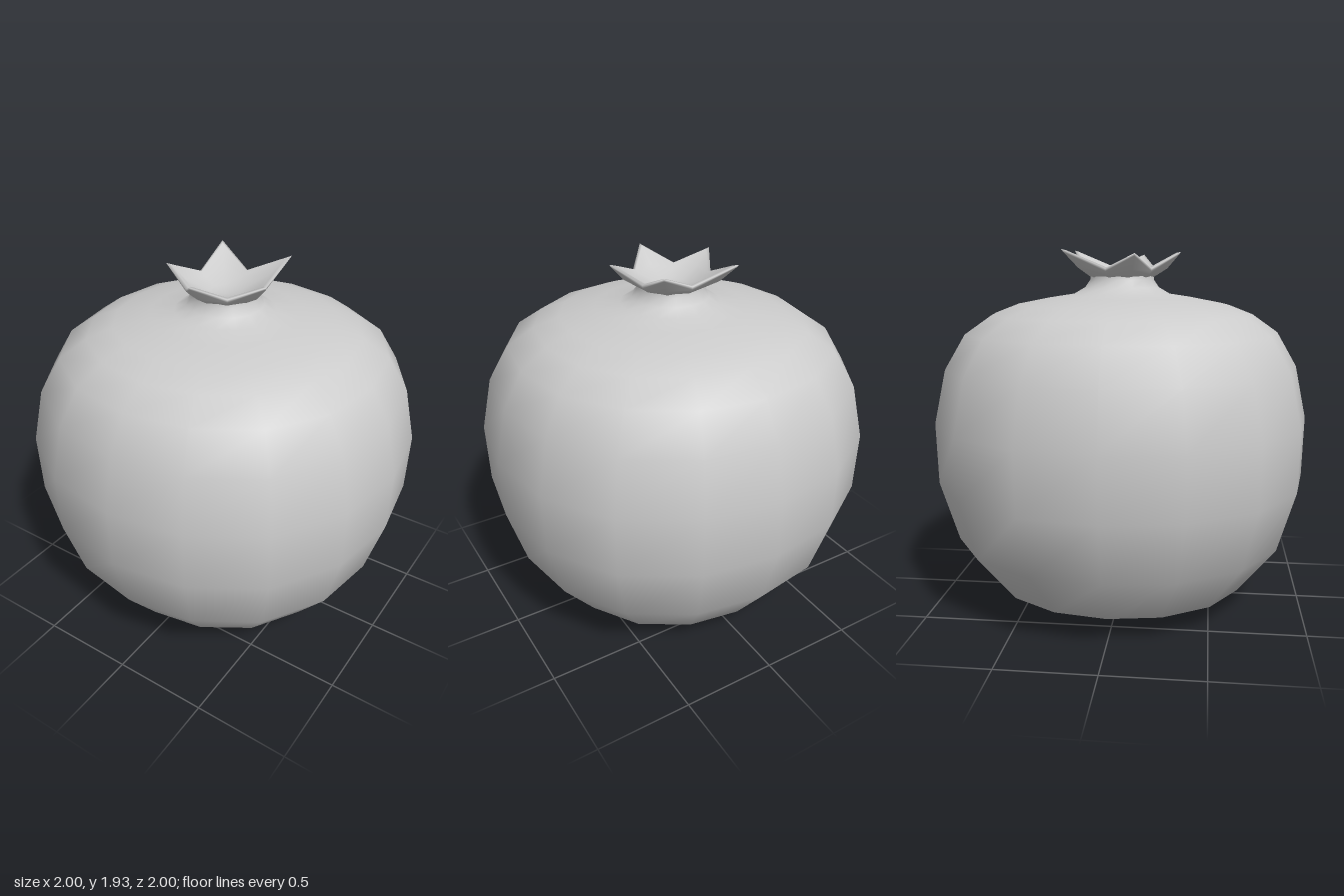
import * as THREE from 'three';
import { mergeVertices } from 'three/addons/utils/BufferGeometryUtils.js';

// Closed loft: point(ring, step) gives a corner; rings run so that faces look outward.
function loft(rings, steps, point) {
  const pos = [], index = [];
  for (let i = 0; i < rings; i++) {
    for (let j = 0; j < steps; j++) pos.push(...point(i, j));
  }
  for (let i = 0; i < rings - 1; i++) {
    for (let j = 0; j < steps; j++) {
      const k = (j + 1) % steps;
      const a = i * steps + j, b = i * steps + k, c = a + steps, d = b + steps;
      index.push(a, b, d, a, d, c);
    }
  }
  let geo = new THREE.BufferGeometry();
  geo.setAttribute('position', new THREE.Float32BufferAttribute(pos, 3));
  geo.setIndex(index);
  geo = mergeVertices(geo, 1e-4);
  geo.computeVertexNormals();
  return geo;
}

export function createModel() {
  const group = new THREE.Group();
  const material = new THREE.MeshStandardMaterial({ color: 0xcccccc, side: THREE.DoubleSide });
  const add = (name, geo) => {
    const mesh = new THREE.Mesh(geo, material);
    mesh.name = name;
    group.add(mesh);
  };

  // Fruit body with short neck: 16 sides, slightly squared in plan
  const profile = [
    [0, 0.015], [0.38, 0.004], [0.7, 0.14], [0.9, 0.4], [0.993, 0.72], [1, 1.04],
    [0.94, 1.32], [0.835, 1.5], [0.7, 1.595], [0.57, 1.645], [0.39, 1.68],
    [0.26, 1.7], [0.2, 1.735], [0.172, 1.775], [0.17, 1.81],
  ];
  add('fruitBody', loft(profile.length, 16, (i, j) => {
    const a = (j / 16) * Math.PI * 2;
    const [r, y] = profile[i];
    const R = r * (1 + 0.03 * r * Math.sin(2 * a) ** 2);
    return [R * Math.sin(a), y, R * Math.cos(a)];
  }));

  // Star crown: five pointed sepals around a shallow cup
  // each ring: notch radius, notch height, share of tip reach, tip lift
  const crownRings = [
    [0.165, 1.785, 0, 0],
    [0.19, 1.803, 0.5, 0.03],
    [0.207, 1.82, 0.93, 0.085],
    [0.21, 1.835, 1, 0.085],
    [0.195, 1.84, 0.9, 0.075],
    [0.165, 1.82, 0.45, 0.02],
    [0.09, 1.79, 0, 0],
    [0, 1.78, 0, 0],
  ];
  const tipReach = [0.105, 0.1, 0.15, 0.15, 0.1];
  const tipExtraLift = [0, -0.01, 0.012, 0.012, -0.01];
  add('crown', loft(crownRings.length, 10, (i, j) => {
    const a = (j / 10) * Math.PI * 2;
    let [r, y, reach, lift] = crownRings[i];
    if (j % 2 === 0) {
      r += tipReach[j / 2] * reach;
      y += lift + tipExtraLift[j / 2] * reach;
    }
    return [r * Math.sin(a), y, r * Math.cos(a)];
  }));

  return group;
}
